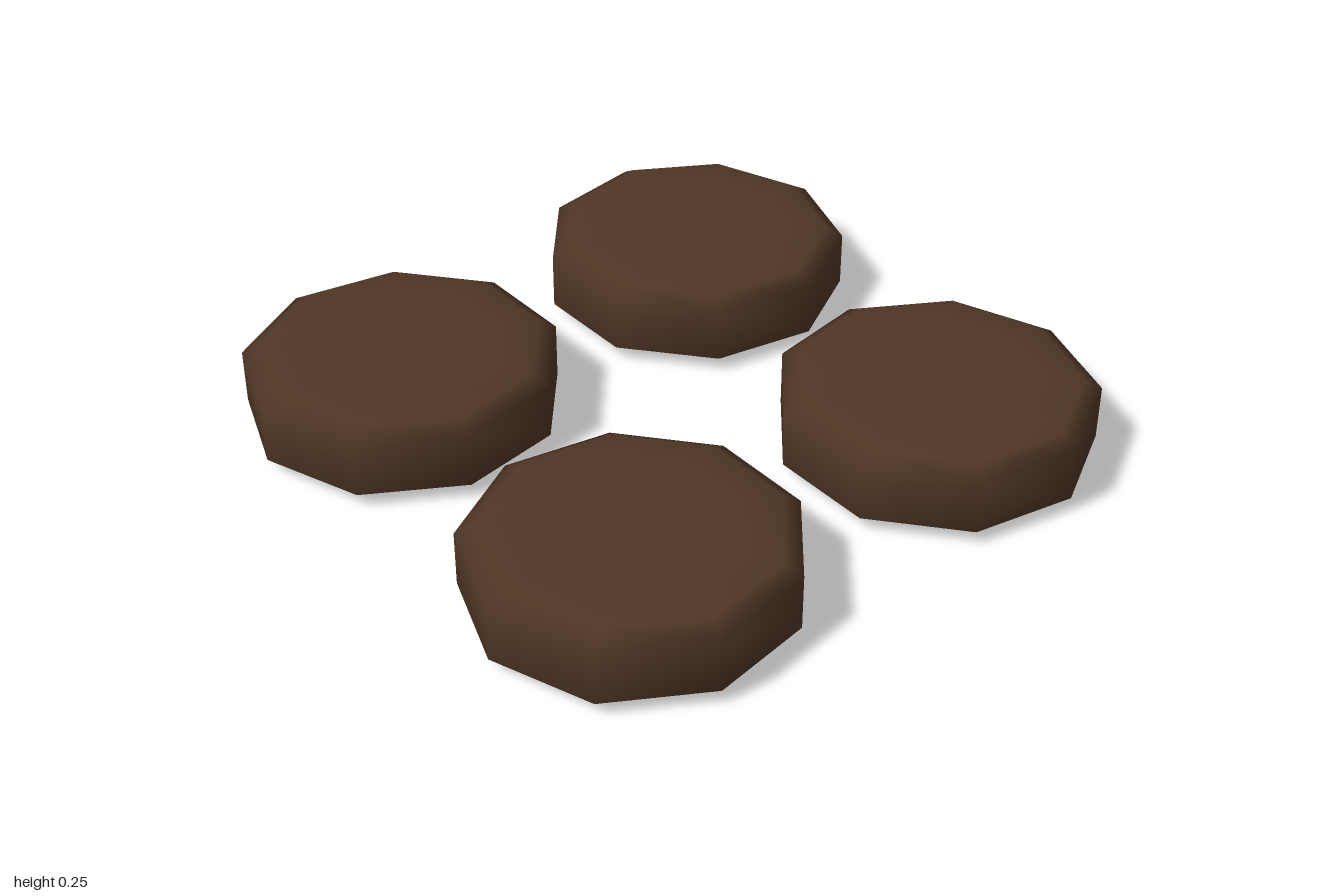
import * as THREE from 'three';

export function createModel() {
  const model = new THREE.Group();
  const brown = new THREE.MeshStandardMaterial({ color: 0x4f3625 });
  brown.name = 'darkBrown';

  // Half profile of a puck with softly rounded rims, from bottom to top
  const profile = [
    [0, 0], [0.298, 0.002], [0.408, 0.015], [0.459, 0.045],
    [0.459, 0.208], [0.408, 0.238], [0.298, 0.251], [0, 0.253],
  ].map(([r, y]) => new THREE.Vector2(r, y));

  // Nine-sided pads, each with a corner pointing away from the middle
  for (const [zName, zSide] of [['front', 1], ['back', -1]]) {
    const geometry = new THREE.LatheGeometry(profile, 9, zSide > 0 ? 0 : Math.PI);
    for (const [xName, xSide] of [['Left', 1], ['Right', -1]]) {
      const pad = new THREE.Mesh(geometry, brown);
      pad.name = `${zName}${xName}Pad`;
      pad.position.set(xSide * 0.537, 0, zSide * 0.541);
      model.add(pad);
    }
  }
  return model;
}
